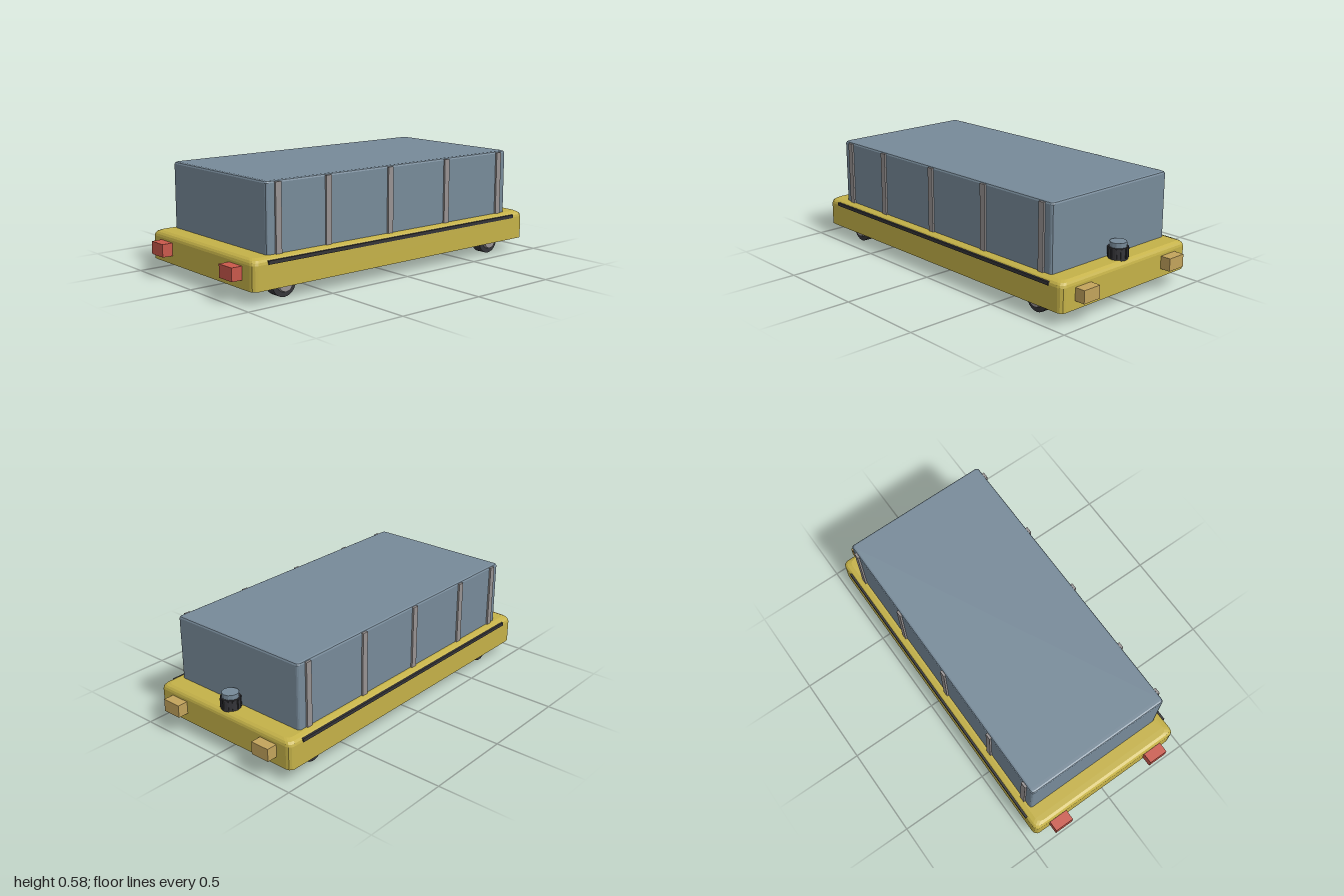
import * as THREE from 'three';

const mat = (name, color, flatShading = false) => {
  const m = new THREE.MeshStandardMaterial({ color });
  m.name = name;
  m.flatShading = flatShading;
  return m;
};

// Rounded rectangular body lofted through rings of [y, inset x, inset z]
function loftedSlab(w, d, radius, rings, steps = 3) {
  const pos = [], index = [], n = 4 * (steps + 1);
  for (const [y, ix, iz] of rings) {
    for (let c = 0; c < 4; c++) {
      const sx = c === 0 || c === 3 ? 1 : -1, sz = c < 2 ? 1 : -1;
      for (let s = 0; s <= steps; s++) {
        const a = (c + s / steps) * Math.PI / 2;
        pos.push(sx * (w / 2 - radius - ix) + radius * Math.cos(a), y,
          sz * (d / 2 - radius - iz) + radius * Math.sin(a));
      }
    }
  }
  for (let r = 0; r < rings.length - 1; r++) {
    for (let i = 0; i < n; i++) {
      const a = r * n + i, b = r * n + (i + 1) % n;
      index.push(a, a + n, b, b, a + n, b + n);
    }
  }
  // Bottom and top caps
  const top = (rings.length - 1) * n;
  for (let i = 1; i < n - 1; i++) {
    index.push(0, i, i + 1, top, top + i + 1, top + i);
  }
  const g = new THREE.BufferGeometry();
  g.setAttribute('position', new THREE.Float32BufferAttribute(pos, 3));
  g.setIndex(index);
  const flat = g.toNonIndexed();
  flat.computeVertexNormals();
  return flat;
}

export function createModel() {
  const model = new THREE.Group();
  const yellow = mat('yellow paint', 0xc4b148, true);
  const steel = mat('blue grey panel', 0x778a99, true);
  const grey = mat('grey metal', 0x979292, true);
  const dark = mat('dark rubber', 0x343438, true);
  const red = mat('red lamp', 0xc9584b);
  const tan = mat('amber lamp', 0xc2a35c);

  const add = (name, geometry, material, x = 0, y = 0, z = 0, parent = model) => {
    const mesh = new THREE.Mesh(geometry, material);
    mesh.name = name;
    mesh.position.set(x, y, z);
    parent.add(mesh);
    return mesh;
  };
  const box = (w, h, d) => new THREE.BoxGeometry(w, h, d);

  // Low chassis with softened upper edge
  add('chassis', loftedSlab(0.92, 1.884, 0.03, [
    [0.07, 0, 0], [0.195, 0, 0], [0.207, 0.003, 0.003],
    [0.217, 0.012, 0.01], [0.225, 0.034, 0.024]
  ]), yellow);

  // Tall closed cargo body
  add('cargoBody', loftedSlab(0.83, 1.66, 0.015, [
    [0.22, 0, 0], [0.567, 0, 0], [0.575, 0.004, 0.004], [0.579, 0.012, 0.012]
  ]), steel);

  for (const side of [-1, 1]) {
    // Vertical ribs and rub strip
    for (const z of [-0.765, -0.355, 0.052, 0.46, 0.765]) {
      add('sideRib', box(0.03, 0.35, 0.034), grey, side * 0.41, 0.397, z);
    }
    add('rubStrip', box(0.014, 0.018, 1.71), dark, side * 0.458, 0.202, 0);

    // Lamps at both ends
    add('frontLamp', box(0.108, 0.068, 0.07), red, side * 0.315, 0.149, 0.965);
    add('rearLamp', box(0.108, 0.068, 0.07), tan, side * 0.315, 0.149, -0.965);

    // Wheels with hub and centre bolt
    for (const z of [-0.72, 0.72]) {
      const wheel = new THREE.Group();
      wheel.name = 'wheel';
      wheel.position.set(side * 0.37, 0.07, z);
      wheel.rotation.z = -side * Math.PI / 2;
      model.add(wheel);
      add('tyre', new THREE.CylinderGeometry(0.07, 0.07, 0.06, 24), dark, 0, 0, 0, wheel);
      add('hub', new THREE.CylinderGeometry(0.041, 0.045, 0.018, 16), grey, 0, 0.037, 0, wheel);
      add('hubBolt', new THREE.CylinderGeometry(0.01, 0.01, 0.016, 10), dark, 0, 0.052, 0, wheel);
    }
  }

  // Ribbed filler cap on the rear deck
  add('capCollar', new THREE.CylinderGeometry(0.051, 0.051, 0.064, 12), dark, 0, 0.253, -0.88);
  for (let i = 0; i < 12; i++) {
    const a = i / 12 * Math.PI * 2;
    const ridge = add('capRidge', box(0.008, 0.05, 0.008), dark,
      0.05 * Math.sin(a), 0.257, -0.88 + 0.05 * Math.cos(a));
    ridge.rotation.y = a;
  }
  add('capTop', new THREE.CylinderGeometry(0.044, 0.044, 0.026, 12), steel, 0, 0.297, -0.88);

  return model;
}
